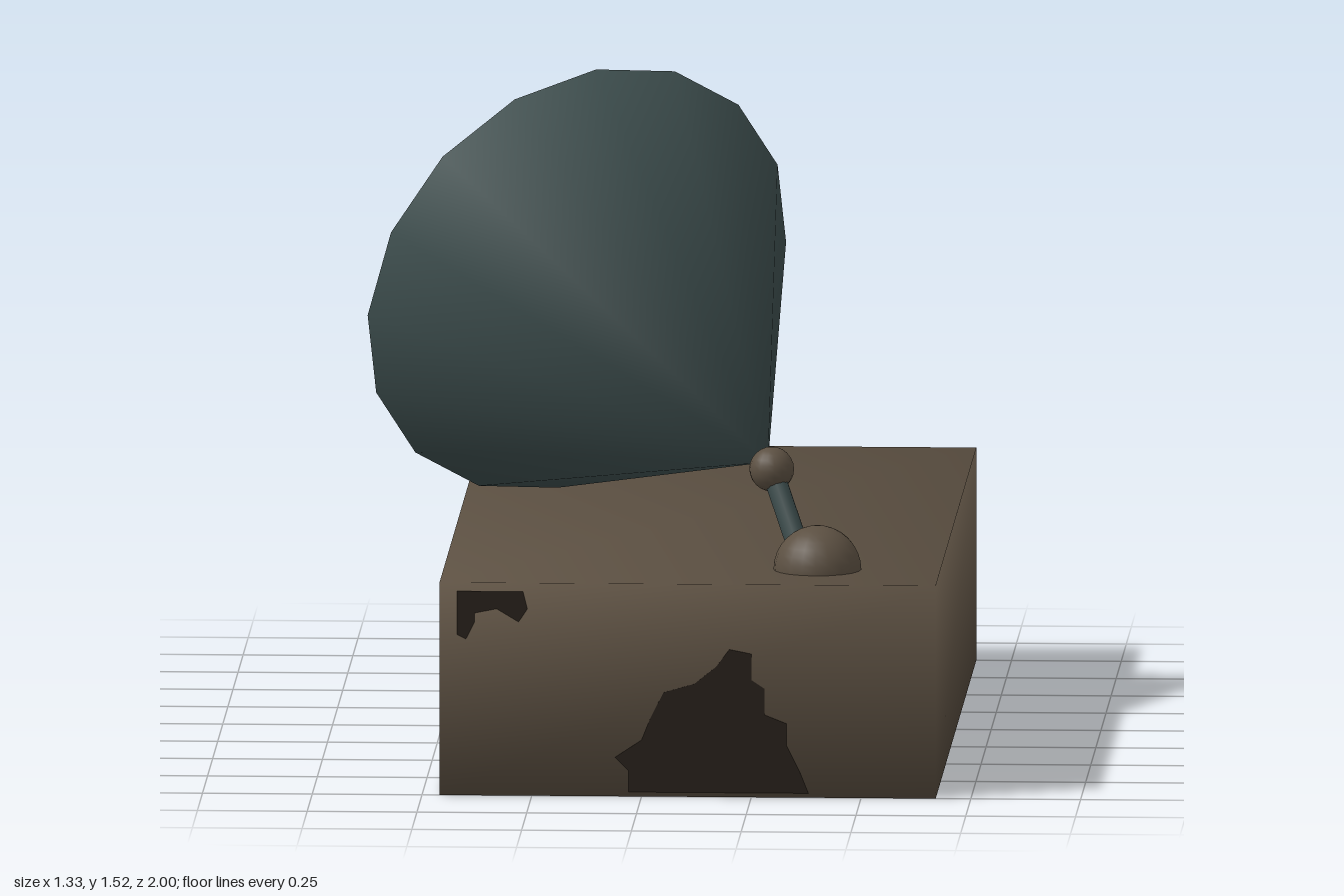
import * as THREE from 'three';
import { mergeVertices } from 'three/addons/utils/BufferGeometryUtils.js';

const mat = (name, color) => {
  const m = new THREE.MeshStandardMaterial({ color });
  m.name = name;
  return m;
};

// Shares corners so that shading runs smoothly over all edges
const smooth = geo => {
  geo.deleteAttribute('normal');
  geo.deleteAttribute('uv');
  const welded = mergeVertices(geo, 1e-4);
  welded.computeVertexNormals();
  return welded;
};

export function createModel() {
  const root = new THREE.Group();
  const brown = mat('rusty brown', 0x5c5042);
  const teal = mat('dark teal', 0x3b4b4b);
  const dark = mat('dark stain', 0x261f19);
  const pale = mat('pale brown', 0x7d6f60);
  const V = (x, y, z) => new THREE.Vector3(x, y, z);

  const add = (name, geo, material, parent = root, pos = [0, 0, 0]) => {
    const mesh = new THREE.Mesh(geo, material);
    mesh.name = name;
    mesh.position.set(...pos);
    parent.add(mesh);
    return mesh;
  };
  // Rod between two points
  const rod = (name, a, b, r, parent = root) => {
    const d = b.clone().sub(a);
    const m = add(name, new THREE.CylinderGeometry(r, r, d.length(), 10), teal, parent);
    m.position.copy(a).add(b).multiplyScalar(0.5);
    m.quaternion.setFromUnitVectors(V(0, 1, 0), d.normalize());
  };
  const dome = r => new THREE.SphereGeometry(r, 20, 8, 0, Math.PI * 2, 0, Math.PI / 2);
  const ball = r => new THREE.SphereGeometry(r, 18, 12);

  // Base block
  add('baseBlock', smooth(new THREE.BoxGeometry(1.13, 0.49, 2)), brown, root, [0.105, 0.245, 0]);

  // Worn patches: thin plates on the front and on the -x side
  const patch = (name, pts, material, onSide) => {
    const shape = new THREE.Shape(pts.map(p => new THREE.Vector2(...p)));
    const geo = new THREE.ExtrudeGeometry(shape, { depth: 0.002, bevelEnabled: false });
    const m = add(name, geo, material, root, onSide ? [-0.459, 0, 0] : [0, 0, 0.999]);
    if (onSide) m.rotation.y = -Math.PI / 2;
  };
  patch('frontStain', [[-0.03, 0.01], [-0.03, 0.06], [-0.06, 0.09], [0, 0.13], [0.02, 0.18], [0.05, 0.24],
    [0.12, 0.26], [0.17, 0.3], [0.2, 0.34], [0.25, 0.33], [0.25, 0.27], [0.28, 0.25], [0.28, 0.19],
    [0.33, 0.17], [0.33, 0.12], [0.36, 0.06], [0.38, 0.01]], dark);
  patch('frontCornerStain', [[-0.42, 0.47], [-0.42, 0.37], [-0.4, 0.36], [-0.38, 0.4], [-0.38, 0.42],
    [-0.33, 0.43], [-0.28, 0.4], [-0.26, 0.43], [-0.27, 0.47]], dark);
  patch('sidePatchLarge', [[0.2, 0.02], [0.2, 0.32], [0.3, 0.41], [0.5, 0.47], [0.72, 0.47], [0.95, 0.36],
    [0.98, 0.2], [0.85, 0.08], [0.7, 0.02]], teal, true);
  patch('sidePatchSmall', [[-0.74, 0.24], [-0.74, 0.42], [-0.6, 0.45], [-0.45, 0.41], [-0.44, 0.18],
    [-0.52, 0.22], [-0.6, 0.17], [-0.68, 0.18]], teal, true);
  patch('sideChip', [[-0.06, 0.2], [-0.03, 0.37], [0.06, 0.36], [0.12, 0.27], [0.08, 0.23], [0.16, 0.17],
    [0.14, 0.07], [0.07, 0.08], [0.06, 0.15], [-0.02, 0.13]], pale, true);
  patch('sideChipLow', [[-0.89, 0.02], [-0.87, 0.07], [-0.82, 0.13], [-0.79, 0.09], [-0.72, 0.06],
    [-0.74, 0.02]], pale, true);

  // Mount: half ball, arm and joint ball
  const joint = V(0.28, 0.7, 0.645);
  add('mountDome', dome(0.1), brown, root, [0.39, 0.49, 0.77]);
  rod('mountArm', V(0.36, 0.49, 0.74), joint, 0.026);
  add('jointBall', ball(0.051), brown, root, joint.toArray());

  // Dish: outer cone from joint to rim, then the hollow face back to the centre
  const axis = V(-0.47, 0.3, -0.75);
  const length = axis.length();
  const profile = [[0, 0], [0.54, length], [0, length - 0.29]].map(p => new THREE.Vector2(...p));
  const dish = add('dish', smooth(new THREE.LatheGeometry(profile, 16, 0.08)), teal, root, [0.27, 0.71, 0.61]);
  dish.quaternion.setFromUnitVectors(V(0, 1, 0), axis.normalize());

  // Feed in the middle of the dish
  const feed = new THREE.Group();
  feed.name = 'feed';
  feed.position.set(-0.08, 0.89, 0.1);
  feed.quaternion.copy(dish.quaternion);
  root.add(feed);
  add('feedDome', dome(0.085), brown, feed);
  rod('feedRod', V(0, 0, 0), V(0, 0.19, 0), 0.024, feed);
  add('feedBall', ball(0.046), brown, feed, [0, 0.19, 0]);

  return root;
}
